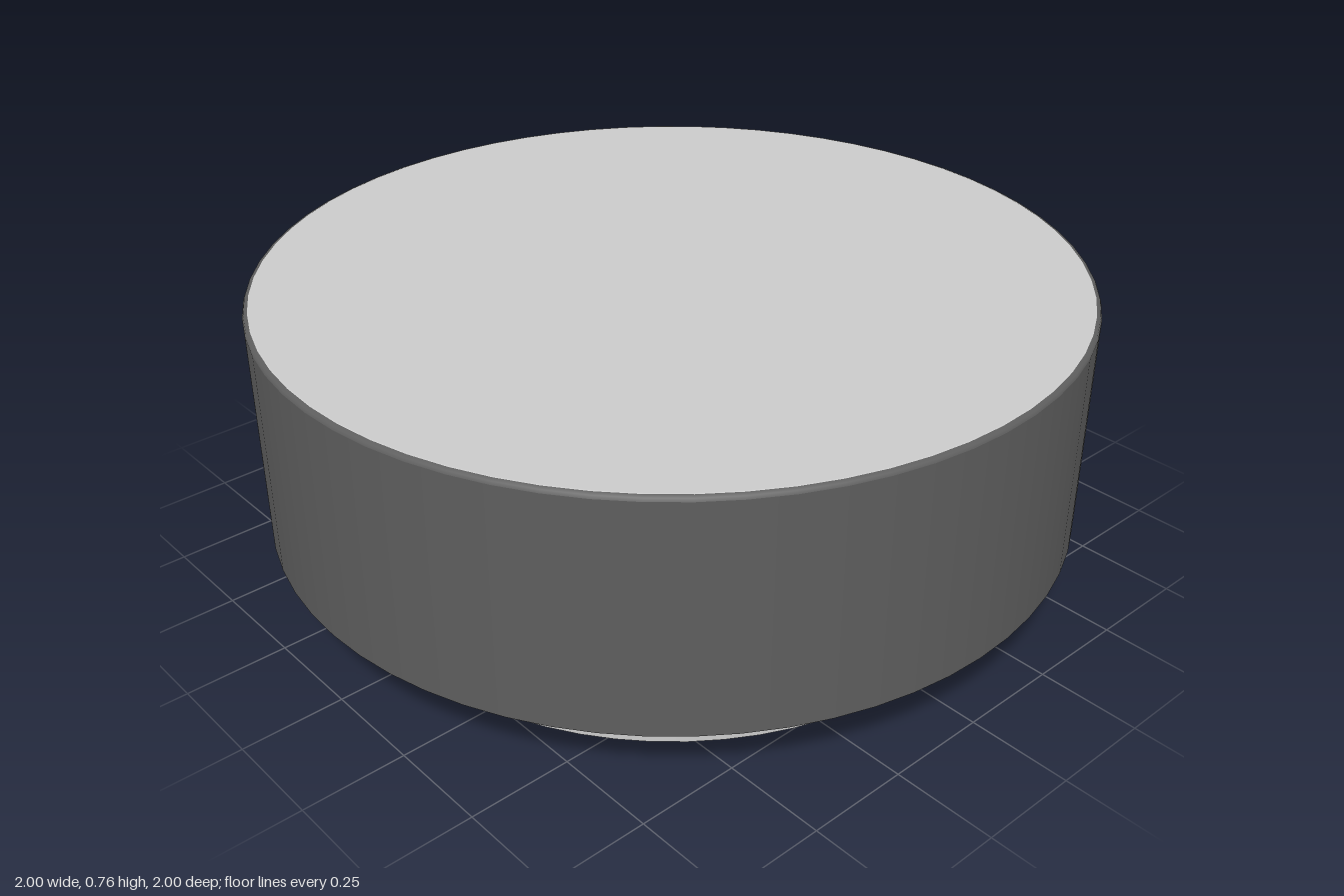
import * as THREE from 'three';

const SEGMENTS = 64;

// Revolve a short [radius, height] profile, listed upward along the outside
function revolve(name, profile, material) {
  const points = profile.map(([r, y]) => new THREE.Vector2(r, y));
  const mesh = new THREE.Mesh(new THREE.LatheGeometry(points, SEGMENTS), material);
  mesh.name = name;
  return mesh;
}

export function createModel() {
  const light = new THREE.MeshStandardMaterial({ color: 0xcccccc, side: THREE.DoubleSide });
  const dark = new THREE.MeshStandardMaterial({ color: 0x5e5e5e, side: THREE.DoubleSide });

  const model = new THREE.Group();
  model.name = 'roundCap';

  // Thin open collar at the bottom
  model.add(revolve('collar', [[0.81, 0], [0.81, 0.18]], light));

  // Hollow body: flat underside, side wall and small rounded top edge
  const body = new THREE.Group();
  body.name = 'body';
  body.add(revolve('underside', [[0.81, 0.18], [1, 0.18]], dark));
  body.add(revolve('sideWall', [[1, 0.18], [1, 0.745]], dark));
  body.add(revolve('topEdge', [[1, 0.745], [0.997, 0.752], [0.988, 0.755]], dark));
  model.add(body);

  // Top disc, its rim turned over very slightly for soft shading
  model.add(revolve('topDisc', [[0.988, 0.755], [0.985, 0.756], [0, 0.757]], light));

  return model;
}
